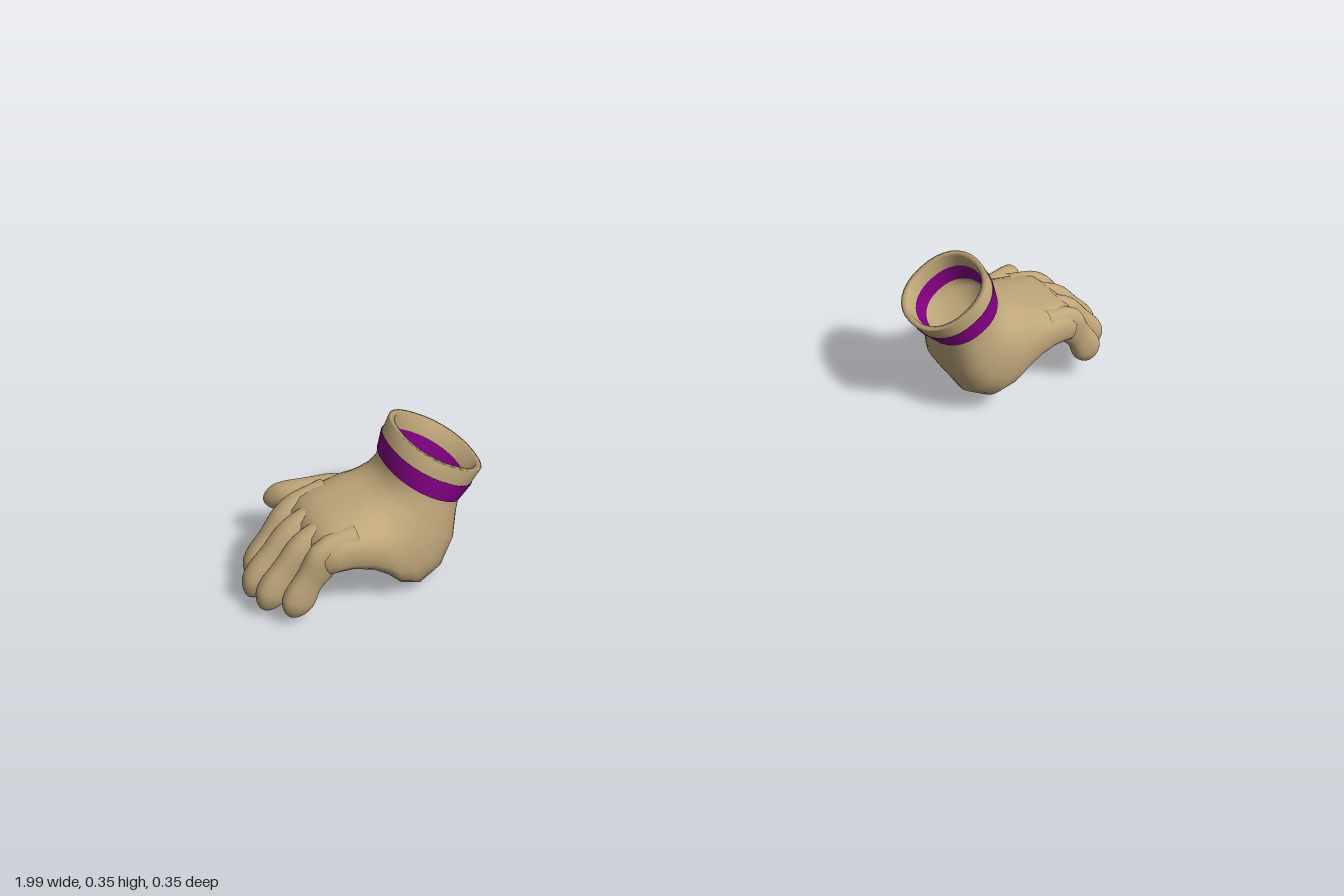
import * as THREE from 'three';

const SEG = 32;

// One closed cross-section, from a top (back of hand) to a bottom (palm) point, spanning z0..z1.
// power < 1 squares it off; dent presses a soft groove into the palm side.
function section([tx, ty, bx, by, z0, z1, power = 0.9, dent = 0], scale = 1) {
  const ring = [], squash = (a) => Math.sign(a) * Math.abs(a) ** power;
  for (let j = 0; j < SEG; j++) {
    const a = (j / SEG) * Math.PI * 2;
    const u = squash(Math.cos(a)) * scale;
    let v = squash(Math.sin(a)) * scale;
    const z = (z0 + z1) / 2 + (u * (z1 - z0)) / 2;
    if (v < 0) v += 2 * dent * -v * Math.exp(-(((z - 0.015) / 0.045) ** 2));
    ring.push(new THREE.Vector3((tx + bx) / 2 + (v * (tx - bx)) / 2, (ty + by) / 2 + (v * (ty - by)) / 2, z));
  }
  return ring;
}

// Smooth skin over a list of cross-sections; place() moves each point onto its side.
function loft(rings, place, mirrored) {
  const pos = [], idx = [];
  rings.forEach((r) => r.forEach((p) => pos.push(...place(p))));
  for (let i = 0; i < rings.length - 1; i++)
    for (let j = 0; j < SEG; j++) {
      const k = (j + 1) % SEG;
      const a = i * SEG + j, b = i * SEG + k, c = a + SEG, d = b + SEG;
      if (mirrored) idx.push(a, b, c, b, d, c);
      else idx.push(a, c, b, b, c, d);
    }
  const g = new THREE.BufferGeometry();
  g.setAttribute('position', new THREE.Float32BufferAttribute(pos, 3));
  g.setIndex(idx);
  g.computeVertexNormals();
  return g;
}

// Rounded digit along a path; ry and rz are its half height and half width.
function digitRings(points, ry, rz, bulge) {
  const curve = new THREE.CatmullRomCurve3(points.map((p) => new THREE.Vector3(...p)));
  const rings = [], n = 22;
  for (let i = 0; i <= n; i++) {
    const t = i < 14 ? (i / 14) * 0.82 : 0.82 + 0.18 * Math.sin(((i - 14) / (n - 14)) * Math.PI / 2);
    const p = curve.getPointAt(t), d = curve.getTangentAt(t);
    const len = Math.hypot(d.x, d.y), nx = -d.y / len, ny = d.x / len;
    const tip = t > 0.82 ? Math.sqrt(Math.max(0, 1 - ((t - 0.82) / 0.18) ** 2)) : 1;
    const r = tip * (1 + bulge * (1 - t) ** 3 - 0.12 * t + 0.06 * Math.cos(t * Math.PI * 5));
    const h = ry * r, w = rz * r;
    rings.push(section([p.x + nx * h, p.y + ny * h, p.x - nx * h, p.y - ny * h, p.z - w, p.z + w, 0.9]));
  }
  return rings;
}

// Cuff: rim edge, top and bottom of the band
const RIM = [0.66, 0.354, 0.492, 0.235, -0.088, 0.122];
const BAND_TOP = [0.676, 0.322, 0.516, 0.208, -0.086, 0.12];
const BAND_LOW = [0.688, 0.28, 0.546, 0.182, -0.082, 0.119];

// Hand from wrist over the heel and arched palm to the knuckles
const BODY = [
  BAND_LOW,
  [0.694, 0.262, 0.555, 0.15, -0.084, 0.122, 0.88],
  [0.708, 0.249, 0.567, 0.09, -0.092, 0.131, 0.85, 0.02],
  [0.722, 0.241, 0.602, 0.03, -0.102, 0.139, 0.82, 0.05],
  [0.735, 0.236, 0.655, 0.003, -0.108, 0.143, 0.8, 0.07],
  [0.75, 0.233, 0.7, 0.024, -0.108, 0.145, 0.78, 0.1],
  [0.768, 0.229, 0.727, 0.06, -0.102, 0.145, 0.76, 0.13],
  [0.792, 0.225, 0.76, 0.09, -0.094, 0.143, 0.74, 0.14],
  [0.822, 0.221, 0.803, 0.11, -0.087, 0.139, 0.72, 0.1],
  [0.85, 0.212, 0.832, 0.113, -0.083, 0.135, 0.72],
  [0.872, 0.192, 0.85, 0.112, -0.079, 0.129, 0.75],
  [0.88, 0.165, 0.868, 0.135, -0.06, 0.11, 0.8],
  [0.876, 0.15, 0.876, 0.15, 0.02, 0.03],
];

// z at the knuckle, z at the tip, reach, half width
const FINGERS = [
  ['indexFinger', -0.055, -0.058, 0.965, 0.027],
  ['middleFinger', 0.0, -0.008, 1.0, 0.028],
  ['ringFinger', 0.054, 0.043, 0.985, 0.027],
  ['littleFinger', 0.106, 0.09, 0.925, 0.024],
];

function makeGlove(name, place, mirrored, fabric, trim) {
  const glove = new THREE.Group();
  glove.name = name;
  const add = (part, rings, material) => {
    const m = new THREE.Mesh(loft(rings, place, mirrored), material);
    m.name = part;
    glove.add(m);
  };

  // Hollow cuff, from its floor up the inside, over the rim and down the outside
  add('cuffLining', [
    section([0.655, 0.21, 0.655, 0.21, 0.017, 0.017]),
    section([0.694, 0.25, 0.585, 0.165, -0.06, 0.098]),
    section(BAND_LOW, 0.86),
  ], fabric);
  add('innerBand', [section(BAND_LOW, 0.86), section(BAND_TOP, 0.86)], trim);
  add('cuffRim', [
    section(BAND_TOP, 0.86), section(RIM, 0.87), section(RIM, 0.95),
    section(RIM), section(BAND_TOP, 1.005),
  ], fabric);
  add('wristBand', [section(BAND_TOP, 1.005), section(BAND_TOP, 1.025), section(BAND_LOW, 1.025), section(BAND_LOW)], trim);

  add('hand', BODY.map((s) => section(s)), fabric);

  // Drooping fingers
  for (const [part, z0, z1, reach, width] of FINGERS) {
    const k = (reach - 0.8) / 0.2;
    const path = [[0.79, 0.178], [0.85, 0.173], [0.895, 0.143], [0.945, 0.092], [0.985, 0.028]];
    const points = path.map(([x, y], i) => [0.8 + (x - 0.8) * (i < 2 ? 1 : 0.25 + 0.75 * k), y, z0 + (z1 - z0) * i / 4]);
    add(part, digitRings(points, 0.036, width, 0.08), fabric);
  }

  // Thumb, spread to the back
  add('thumb', digitRings([
    [0.67, 0.12, -0.045], [0.73, 0.142, -0.085], [0.8, 0.147, -0.122], [0.885, 0.122, -0.163],
  ], 0.036, 0.03, 0.5), fabric);
  return glove;
}

export function createModel() {
  const fabric = new THREE.MeshStandardMaterial({ color: 0xbfa67a });
  fabric.name = 'tanFabric';
  const trim = new THREE.MeshStandardMaterial({ color: 0x800080 });
  trim.name = 'purpleTrim';

  const model = new THREE.Group();
  model.name = 'gloves';
  model.add(makeGlove('rightGlove', (p) => [-p.x, p.y, p.z], true, fabric, trim));
  // The left glove is a little smaller, higher and further forward
  model.add(makeGlove('leftGlove', (p) => [0.995 - (1 - p.x) * 0.965, 0.033 + p.y * 0.925, 0.034 + p.z * 0.94], false, fabric, trim));
  return model;
}
